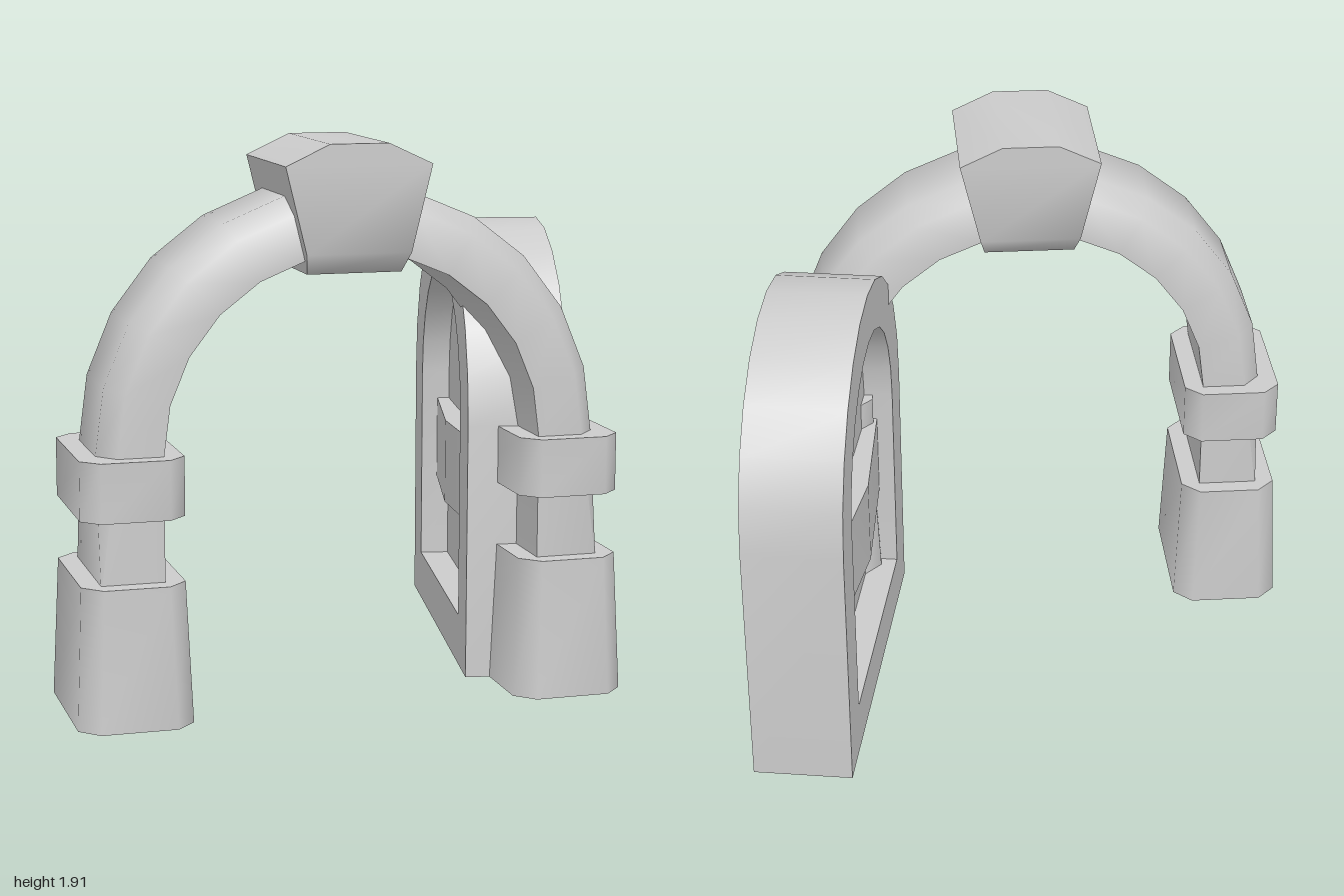
import * as THREE from 'three';
import { toCreasedNormals } from 'three/addons/utils/BufferGeometryUtils.js';

const material = new THREE.MeshStandardMaterial({ color: 0xcccccc });
const CREASE = THREE.MathUtils.degToRad(50);

function part(name, geometry) {
  const mesh = new THREE.Mesh(toCreasedNormals(geometry, CREASE), material);
  mesh.name = name;
  return mesh;
}

// Skin a list of equal-length rings of [x, y, z] points and cap both ends
function loft(rings) {
  const pos = [];
  const tri = (a, b, c) => pos.push(...a, ...b, ...c);
  const n = rings[0].length;
  for (let i = 0; i < rings.length - 1; i++) {
    for (let j = 0; j < n; j++) {
      const k = (j + 1) % n;
      const a = rings[i][j], b = rings[i][k], c = rings[i + 1][k], d = rings[i + 1][j];
      tri(a, b, c);
      tri(a, c, d);
    }
  }
  const first = rings[0], last = rings[rings.length - 1];
  for (let j = 1; j < n - 1; j++) {
    tri(first[0], first[j + 1], first[j]);
    tri(last[0], last[j], last[j + 1]);
  }
  const g = new THREE.BufferGeometry();
  g.setAttribute('position', new THREE.Float32BufferAttribute(pos, 3));
  return g;
}

// Horizontal rectangle with cut corners
function cutRect(y, hx, hz, c) {
  return [[hx - c, hz], [hx, hz - c], [hx, c - hz], [hx - c, -hz],
    [c - hx, -hz], [-hx, c - hz], [-hx, hz - c], [c - hx, hz]].map(([x, z]) => [x, y, z]);
}

function rect(y, hx, hz) {
  return [[hx, y, hz], [hx, y, -hz], [-hx, y, -hz], [-hx, y, hz]];
}

// Round-topped doorway outline
function archOutline(Type, radius, bottom, spring = 0.903) {
  const s = new Type();
  s.moveTo(-radius, bottom);
  s.lineTo(radius, bottom);
  s.lineTo(radius, spring);
  s.absarc(0, spring, radius, 0, Math.PI, false);
  s.closePath();
  return s;
}

function extrudeCentred(shape, depth) {
  return new THREE.ExtrudeGeometry(shape, { depth, bevelEnabled: false, curveSegments: 6 })
    .translate(0, 0, -depth / 2);
}

function createArchway() {
  const group = new THREE.Group();
  group.name = 'archway';
  group.position.set(-0.05, 0, 0.5);

  // Arch with straight legs; the outer corners sharpen towards the feet
  const R = 0.865, r = 0.65, h = 0.215, spring = 0.9;
  const section = (angle, y, c) => [
    [R - c, h], [R, h - c * 1.15], [R, c * 1.15 - h], [R - c, -h], [r, -h], [r, h],
  ].map(([d, z]) => [d * Math.cos(angle), y + d * Math.sin(angle), z]);
  const rings = [section(0, 0.46, 0.001)];
  for (let i = 0; i <= 12; i++) rings.push(section((i / 12) * Math.PI, spring, 0.06));
  rings.push(section(Math.PI, 0.46, 0.001));
  group.add(part('arch', loft(rings)));

  // Pillar feet and bands
  for (const side of [-1, 1]) {
    const base = part('pillarBase', loft([cutRect(0, 0.195, 0.3, 0.065), cutRect(0.48, 0.175, 0.28, 0.065)]));
    const band = part('pillarBand', loft([cutRect(0.7, 0.175, 0.275, 0.06), cutRect(0.9, 0.175, 0.275, 0.06)]));
    base.position.x = band.position.x = side * 0.757;
    group.add(base, band);
  }

  // Wedge-shaped keystone with a bevelled underside
  group.add(part('keystone', loft([
    rect(1.48, 0.162, 0.2), rect(1.55, 0.179, 0.26), rect(1.84, 0.25, 0.26), rect(1.91, 0.1, 0.26),
  ])));
  return group;
}

function createDoor() {
  const group = new THREE.Group();
  group.name = 'door';
  group.position.set(0.714, 0, -0.135);
  group.rotation.y = THREE.MathUtils.degToRad(80);

  // Thick frame around a recessed panel
  const frame = archOutline(THREE.Shape, 0.655, 0);
  frame.holes.push(archOutline(THREE.Path, 0.475, 0.18));
  group.add(part('doorFrame', extrudeCentred(frame, 0.35)));
  group.add(part('doorPanel', extrudeCentred(archOutline(THREE.Shape, 0.48, 0.17), 0.14)));

  // Crossbar bowed outwards on both faces
  const bar = new THREE.Shape([[-0.478, -0.115], [0, -0.155], [0.478, -0.115],
    [0.478, 0.115], [0, 0.155], [-0.478, 0.115]].map(([x, y]) => new THREE.Vector2(x, y)));
  const barGeometry = extrudeCentred(bar, 0.31).rotateX(-Math.PI / 2).translate(0, 0.645, 0);
  group.add(part('crossbar', barGeometry));
  return group;
}

export function createModel() {
  const model = new THREE.Group();
  model.name = 'archwayWithOpenDoor';
  model.add(createArchway(), createDoor());
  return model;
}
